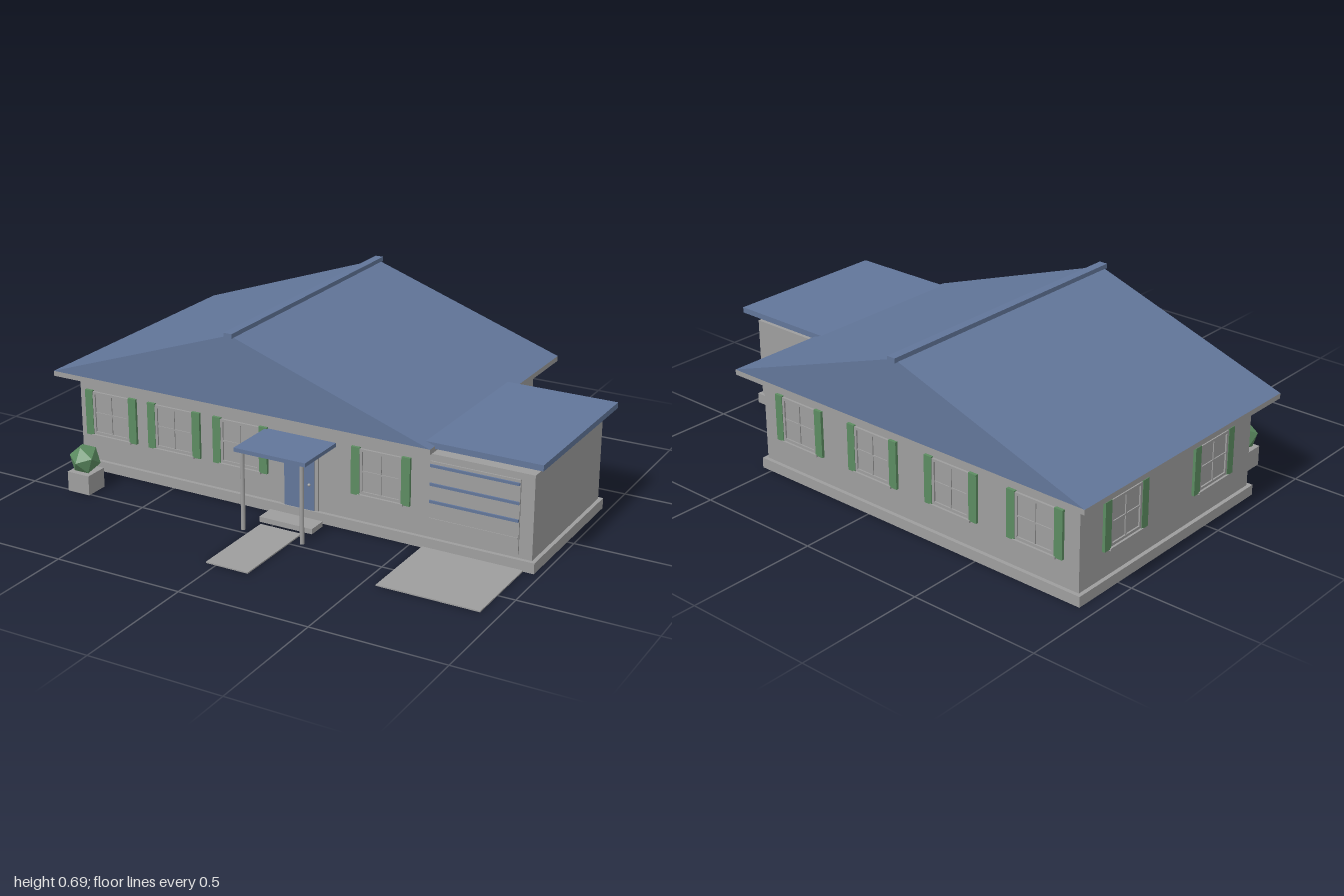
import * as THREE from 'three';

const mat = (name, color) => Object.assign(new THREE.MeshStandardMaterial({ color }), { name });

export function createModel() {
  const grey = mat('stone grey', 0x9e9e9e);
  const blue = mat('slate blue', 0x62769a);
  const green = mat('leaf green', 0x5c8c61);
  const house = new THREE.Group();
  house.name = 'house';

  // Box given by its minimum and maximum on each axis
  const box = (name, m, [x0, x1], [y0, y1], [z0, z1], parent = house) => {
    const mesh = new THREE.Mesh(new THREE.BoxGeometry(x1 - x0, y1 - y0, z1 - z0), m);
    mesh.position.set((x0 + x1) / 2, (y0 + y1) / 2, (z0 + z1) / 2);
    mesh.name = name;
    parent.add(mesh);
    return mesh;
  };

  // Walls and foundations
  box('mainFoundation', grey, [-0.945, 0.545], [0, 0.04], [-0.705, 0.295]);
  box('garageFoundation', grey, [0.53, 0.975], [0, 0.04], [-0.337, 0.295]);
  box('mainWalls', grey, [-0.93, 0.53], [0.04, 0.38], [-0.69, 0.28]);
  box('garageWalls', grey, [0.525, 0.96], [0.04, 0.355], [-0.325, 0.28]);

  // Gabled roof on its eave slab, with a ridge cap
  box('eaves', grey, [-1, 0.6], [0.38, 0.4], [-0.76, 0.35]);
  const gable = new THREE.Shape();
  gable.moveTo(-1, 0.4);
  gable.lineTo(0.6, 0.4);
  gable.lineTo(-0.2, 0.675);
  gable.closePath();
  const roof = new THREE.Mesh(
    new THREE.ExtrudeGeometry(gable, { depth: 1.11, bevelEnabled: false }), blue);
  roof.position.z = -0.76;
  roof.name = 'mainRoof';
  house.add(roof);
  box('ridgeCap', blue, [-0.217, -0.183], [0.668, 0.686], [-0.775, 0.363]);
  box('garageRoof', blue, [0.55, 1], [0.39, 0.412], [-0.365, 0.312]);

  // Window with shutters, built facing +z around its own centre
  const addWindow = (name, x, z, turn) => {
    const w = new THREE.Group();
    w.name = name;
    const hw = 0.083, hh = 0.086, t = 0.01;
    box('glass', grey, [-hw, hw], [-hh, hh], [0, 0.003], w);
    for (const s of [-1, 1]) {
      const span = (a, b) => (s > 0 ? [a, b] : [-b, -a]);
      box('frameSide', grey, span(hw - t, hw), [-hh, hh], [0, 0.009], w);
      box('frameRail', grey, [-hw, hw], span(hh - t, hh), [0, 0.009], w);
      box('shutter', green, span(0.083, 0.117), [-0.092, 0.09], [0, 0.011], w);
    }
    box('verticalBar', grey, [-0.003, 0.003], [-hh, hh], [0, 0.007], w);
    box('horizontalBar', grey, [-hw, hw], [-0.003, 0.003], [0, 0.007], w);
    box('sill', grey, [-0.09, 0.09], [-0.097, -0.088], [0, 0.015], w);
    w.position.set(x, 0.234, z);
    w.rotation.y = turn;
    house.add(w);
  };
  for (const x of [-0.785, -0.497, -0.205, 0.378]) addWindow('frontWindow', x, 0.28, 0);
  for (const x of [-0.75, -0.385, -0.02, 0.345]) addWindow('backWindow', x, -0.69, Math.PI);
  for (const z of [-0.455, 0.045]) addWindow('rightWindow', -0.93, z, -Math.PI / 2);
  addWindow('leftWindow', 0.53, -0.45, Math.PI / 2);

  // Front door
  box('doorFrame', grey, [-0.03, 0.125], [0.02, 0.27], [0.27, 0.286]);
  box('frontDoor', blue, [-0.014, 0.11], [0.04, 0.26], [0.28, 0.291]);
  const knob = new THREE.Mesh(new THREE.SphereGeometry(0.006, 10, 8), grey);
  knob.position.set(0.092, 0.14, 0.294);
  knob.name = 'doorKnob';
  house.add(knob);

  // Porch: canopy, posts, step and path
  box('porchCanopy', blue, [-0.097, 0.195], [0.304, 0.319], [0.27, 0.497]);
  for (const x of [-0.075, 0.169]) {
    const post = new THREE.Mesh(new THREE.CylinderGeometry(0.008, 0.008, 0.305, 12), grey);
    post.position.set(x, 0.1525, 0.476);
    post.name = 'porchPost';
    house.add(post);
  }
  box('doorStep', grey, [-0.06, 0.16], [0, 0.02], [0.315, 0.392]);
  box('gardenPath', grey, [-0.04, 0.13], [0, 0.005], [0.415, 0.773]);

  // Garage door with horizontal strips, and driveway
  box('garageDoor', grey, [0.57, 0.91], [0.055, 0.33], [0.27, 0.286]);
  for (const y of [0.18, 0.245, 0.315])
    box('garageDoorStrip', blue, [0.572, 0.908], [y - 0.005, y + 0.005], [0.284, 0.292]);
  box('garageDoorSeam', grey, [0.572, 0.908], [0.112, 0.117], [0.284, 0.289]);
  box('driveway', grey, [0.55, 0.935], [0, 0.005], [0.29, 0.637]);

  // Planter with a faceted bush
  box('planter', grey, [-0.833, -0.737], [0, 0.077], [0.412, 0.508]);
  const bush = new THREE.Mesh(new THREE.IcosahedronGeometry(0.06, 0), green);
  bush.position.set(-0.785, 0.122, 0.46);
  bush.rotation.x = -0.553;
  bush.name = 'bush';
  house.add(bush);

  return house;
}
